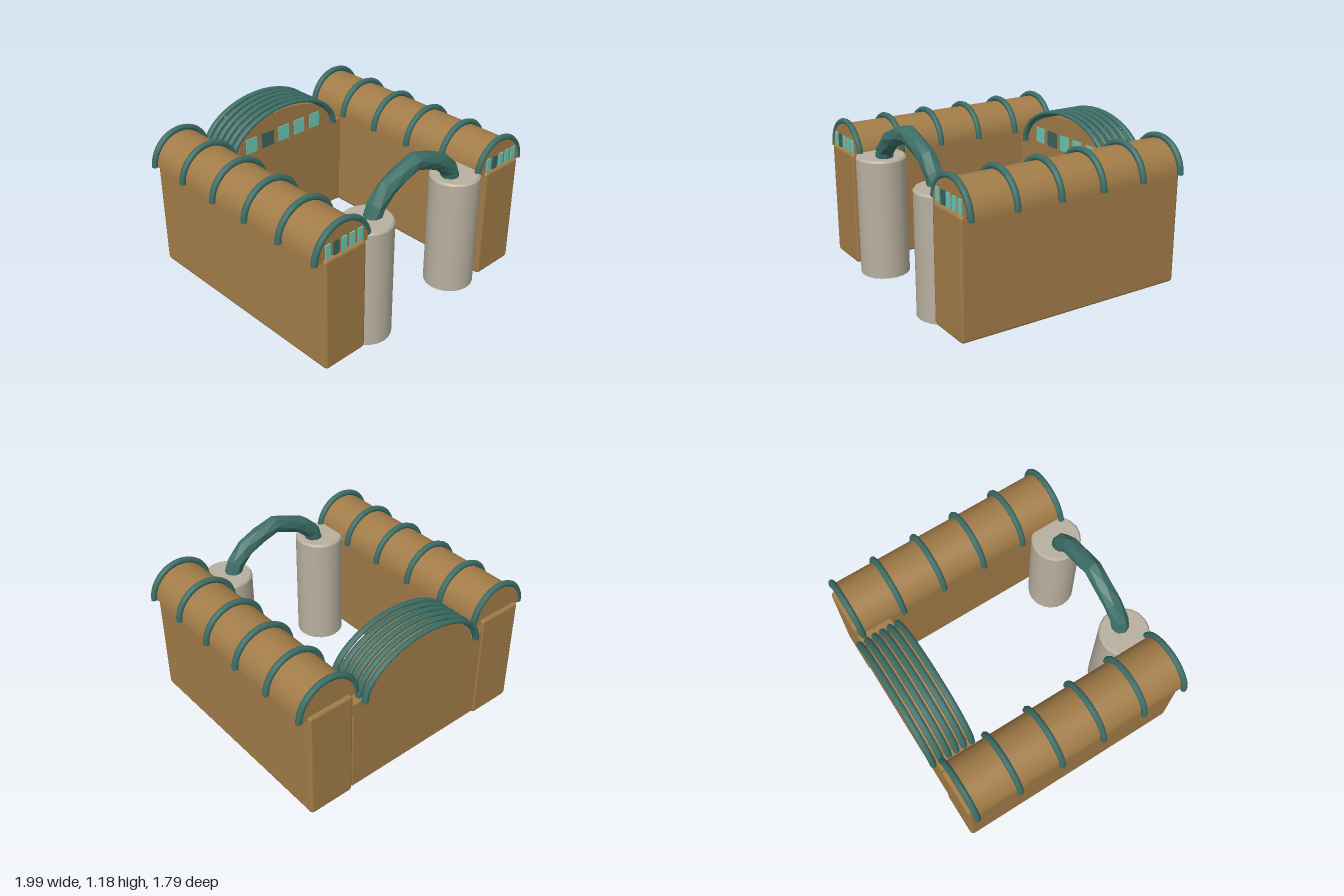
import * as THREE from 'three';
import { toCreasedNormals } from 'three/addons/utils/BufferGeometryUtils.js';
import { RoundedBoxGeometry } from 'three/addons/geometries/RoundedBoxGeometry.js';

const material = (name, color, extra = {}) => {
  const m = new THREE.MeshStandardMaterial({ color, ...extra });
  m.name = name;
  return m;
};

export function createModel() {
  const brown = material('brown wall', 0xa27c48);
  const teal = material('teal rib', 0x3c6e66);
  const tealFlat = material('teal arch', 0x3c6e66, { flatShading: true });
  const stone = material('pale stone', 0xb8b0a0);
  const glass = material('bright glass', 0x6cc8b6);
  const darkGlass = material('dark glass', 0x3a645d);

  const root = new THREE.Group();
  root.name = 'courtyardBuilding';

  const add = (parent, name, geometry, mat, x = 0, y = 0, z = 0) => {
    const mesh = new THREE.Mesh(geometry, mat);
    mesh.name = name;
    mesh.position.set(x, y, z);
    parent.add(mesh);
    return mesh;
  };

  // Block with chamfered edges, given by its centre in x and z and its y range
  const block = (parent, name, x, z, w, d, y0, y1, bevel) =>
    add(parent, name, new RoundedBoxGeometry(w, y1 - y0, d, 1, bevel), brown, x, (y0 + y1) / 2, z);

  // Solid half-round roof running along z
  const vault = (parent, name, x, y, z0, z1, rx, ry) => {
    const shape = new THREE.Shape();
    shape.absellipse(0, 0, rx, ry, 0, Math.PI, false, 0);
    shape.closePath();
    const g = new THREE.ExtrudeGeometry(shape, { depth: z1 - z0, bevelEnabled: false, curveSegments: 14 });
    add(parent, name, toCreasedNormals(g, 0.6), brown, x, y, z0);
  };

  // Half-ring rib with capped ends
  const rib = (parent, name, x, y, z, radius, tube, scaleY) => {
    const g = new THREE.Group();
    g.name = name;
    g.position.set(x, y, z);
    g.scale.y = scaleY;
    add(g, 'ribArc', new THREE.TorusGeometry(radius, tube, 8, 20, Math.PI), teal);
    for (const s of [-1, 1]) {
      const cap = add(g, 'ribEnd', new THREE.CircleGeometry(tube, 8), teal, s * radius);
      cap.rotation.x = Math.PI / 2;
    }
    parent.add(g);
  };

  // Row of five thin panes, the second one dark
  const panes = (parent, x, y, z, step, w, h) => {
    for (let i = 0; i < 5; i++) {
      add(parent, 'windowPane' + i, new THREE.BoxGeometry(i === 1 ? w * 1.12 : w, h, 0.009),
        i === 1 ? darkGlass : glass, x + (i - 2) * step, y, z);
    }
  };

  // Two side wings with barrel roofs
  for (const s of [-1, 1]) {
    const wing = new THREE.Group();
    wing.name = s > 0 ? 'leftWing' : 'rightWing';
    root.add(wing);
    const x = s * 0.75;
    block(wing, 'wingWalls', x, 0, 0.345, 1.725, 0.025, 0.86, 0.022);
    vault(wing, 'wingRoof', x, 0.835, -0.835, 0.835, 0.21, 0.205);
    for (let i = 0; i < 6; i++) rib(wing, 'wingRib' + i, x, 0.835, -0.82 + i * 0.328, 0.223, 0.022, 1);
    panes(wing, x, 0.908, 0.841, 0.067, 0.04, 0.095);
  }

  // Rear hall with a wide shallow vault
  const hall = new THREE.Group();
  hall.name = 'rearHall';
  root.add(hall);
  block(hall, 'hallWalls', 0, -0.72, 1.16, 0.272, 0.045, 0.775, 0.012);
  vault(hall, 'hallRoof', 0, 0.765, -0.855, -0.585, 0.475, 0.275);
  for (let i = 0; i < 6; i++) rib(hall, 'hallRib' + i, 0, 0.765, -0.875 + i * 0.06, 0.497, 0.023, 0.625);
  panes(hall, 0, 0.85, -0.582, 0.152, 0.098, 0.115);

  // Gate columns with a chamfered top edge
  for (const s of [-1, 1]) {
    const column = new THREE.Group();
    column.name = s > 0 ? 'leftColumn' : 'rightColumn';
    column.position.set(s * 0.425, 0, 0.71);
    root.add(column);
    add(column, 'columnShaft', new THREE.CylinderGeometry(0.178, 0.178, 0.86, 20), stone, 0, 0.43, 0);
    add(column, 'columnTop', new THREE.CylinderGeometry(0.166, 0.178, 0.015, 20), stone, 0, 0.8675, 0);
  }

  // Twisted gate arch: rings swept along a peaked path, each turned a little further
  const half = [[-0.385, 0.83], [-0.35, 0.935], [-0.255, 1.025], [-0.13, 1.08]];
  const path = [...half, [0, 1.122], ...half.map(([x, y]) => [-x, y]).reverse()];
  const sides = 7, radius = 0.064, positions = [], index = [];
  path.forEach(([x, y], i) => {
    const a = path[Math.max(i - 1, 0)], b = path[Math.min(i + 1, path.length - 1)];
    const len = Math.hypot(b[0] - a[0], b[1] - a[1]);
    const nx = -(b[1] - a[1]) / len, ny = (b[0] - a[0]) / len;
    for (let j = 0; j < sides; j++) {
      const t = (j / sides) * Math.PI * 2 + i * 0.3;
      const c = Math.cos(t) * radius;
      positions.push(x + nx * c, y + ny * c, 0.71 + Math.sin(t) * radius);
      if (i < path.length - 1) {
        const p = i * sides + j, q = i * sides + (j + 1) % sides;
        index.push(p, q, p + sides, q, q + sides, p + sides);
      }
    }
  });
  const archGeometry = new THREE.BufferGeometry();
  archGeometry.setAttribute('position', new THREE.Float32BufferAttribute(positions, 3));
  archGeometry.setIndex(index);
  archGeometry.computeVertexNormals();
  add(root, 'gateArch', archGeometry, tealFlat);

  return root;
}
